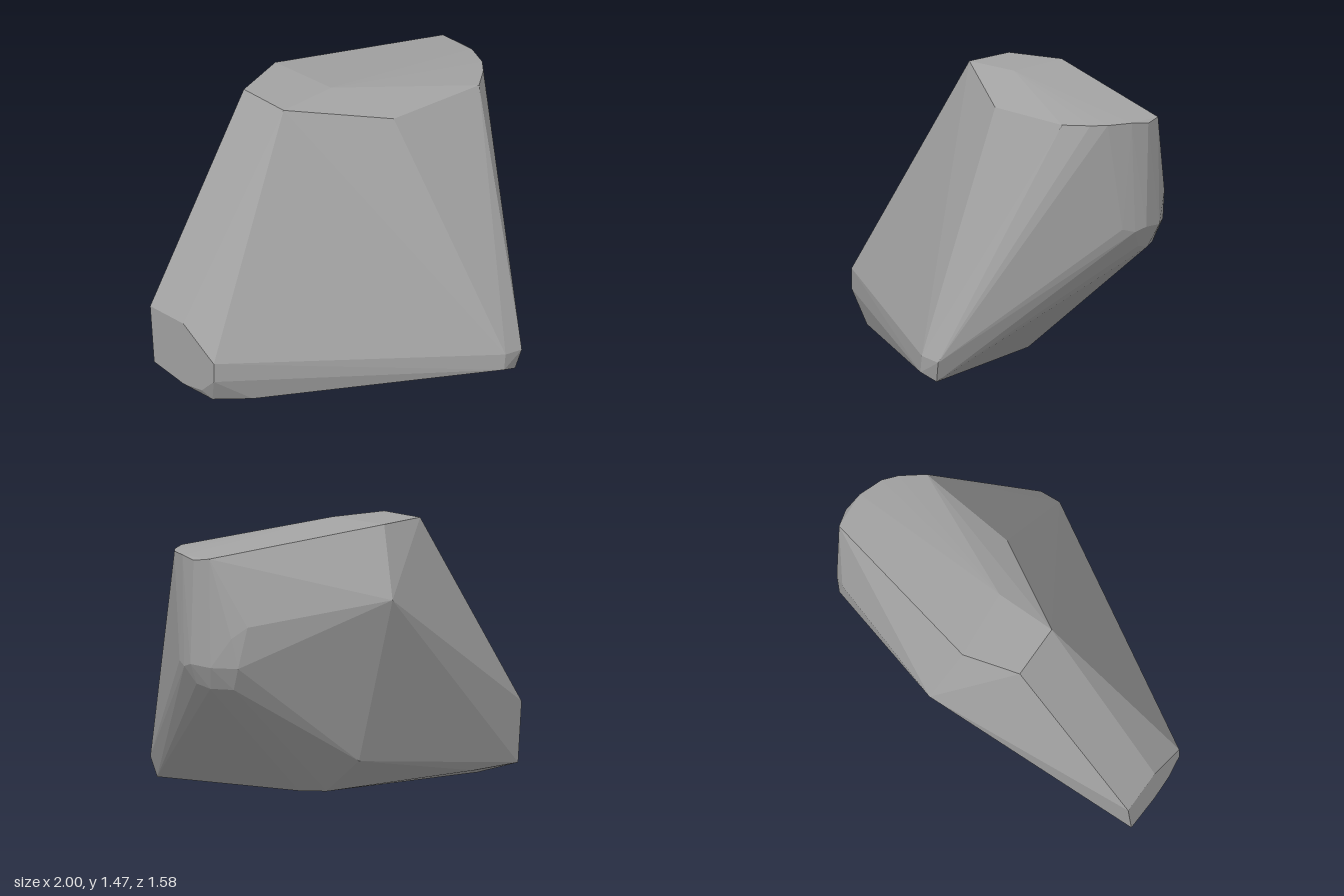
import * as THREE from 'three';
import { ConvexGeometry } from 'three/addons/geometries/ConvexGeometry.js';

// Corner points of the boulder, grouped by region
const crown = [
  [-0.31, 1.465, -0.23], [-0.31, 1.465, -0.53], [0, 1.465, -0.61], [0.03, 1.465, -0.22],
  [0.19, 1.34, 0.09], [0.75, 1.34, 0.16], [0.97, 1.34, -0.34],
];
const roundedSide = [
  [0.87, 1.34, 0.07], [0.93, 1.34, 0], [0.98, 1.34, -0.13], [0.995, 1.325, -0.24],
  [0.96, 0.77, -0.08], [0.985, 0.75, -0.15], [1, 0.77, -0.22], [0.97, 0.76, -0.35],
  [0.88, 0.76, -0.47], [0.95, 0.66, -0.21], [0.93, 0.64, -0.3], [0.86, 0.64, -0.41],
  [0.84, 0.98, -0.5], [0.91, 0.92, -0.45],
];
const frontTip = [
  [0.33, 0.13, 0.79], [0.32, 0.04, 0.79], [0.45, 0.11, 0.79], [0.42, 0, 0.77],
];
const leftEnd = [
  [-1, 0.42, -0.53], [-1, 0.42, -0.28], [-1, 0.27, -0.05], [-1, 0.16, -0.05],
  [-1, 0.07, -0.14], [-1, 0.05, -0.28], [-1, 0.09, -0.5],
];
const backAndBase = [
  [0.09, 1.09, -0.79], [0.09, 0.2, -0.51], [-0.08, 0.19, -0.51], [-0.72, 0.07, -0.47],
  [0.2, 0.01, -0.15], [0.1, 0.01, -0.25], [-0.8, 0.012, 0.04], [-0.96, 0.015, -0.1],
  [-0.93, 0.015, -0.25],
];

export function createModel() {
  const group = new THREE.Group();
  group.name = 'rock';

  const stone = new THREE.MeshStandardMaterial({ color: 0xa2a2a2 });
  stone.name = 'stone grey';

  // Faceted convex boulder
  const points = [...crown, ...roundedSide, ...frontTip, ...leftEnd, ...backAndBase]
    .map(p => new THREE.Vector3(...p));
  const boulder = new THREE.Mesh(new ConvexGeometry(points), stone);
  boulder.name = 'boulder';
  group.add(boulder);
  return group;
}
